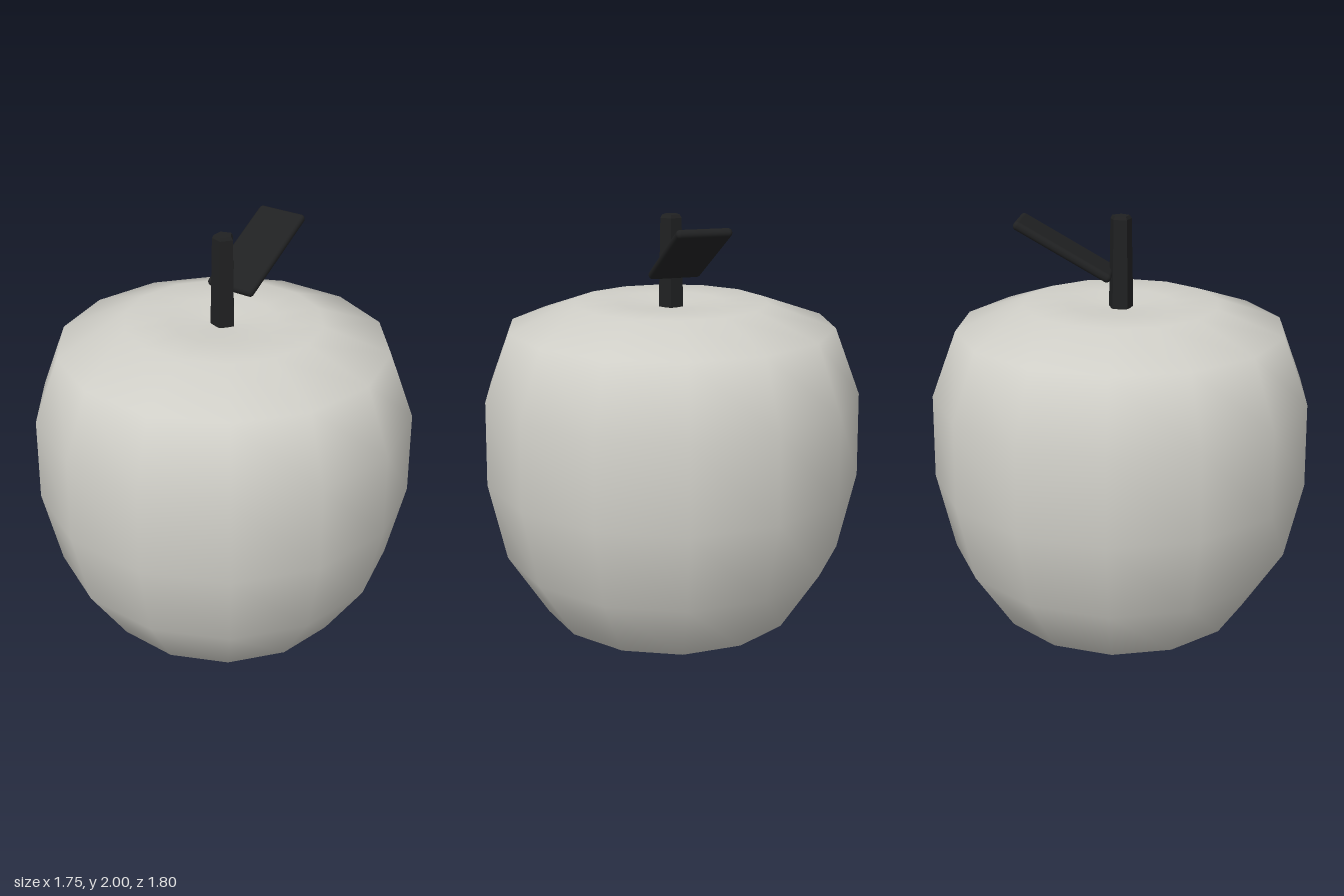
import * as THREE from 'three';
import { RoundedBoxGeometry } from 'three/addons/geometries/RoundedBoxGeometry.js';

export function createModel() {
  const model = new THREE.Group();
  model.name = 'apple';

  const makeMaterial = (name, color) => {
    const material = new THREE.MeshStandardMaterial({ color });
    material.name = name;
    return material;
  };
  const skin = makeMaterial('pale skin', 0xd0cfc8);
  const dark = makeMaterial('dark stem and leaf', 0x202122);

  const addPart = (name, geometry, material) => {
    const mesh = new THREE.Mesh(geometry, material);
    mesh.name = name;
    model.add(mesh);
    return mesh;
  };

  // Fruit body: 14-sided lathe with smooth normals and a shallow dip on top
  const profile = [
    [0, 0.015], [0.3, 0], [0.63, 0.09], [0.82, 0.4], [0.9, 0.78],
    [0.89, 1.18], [0.77, 1.49], [0.46, 1.597], [0.25, 1.595], [0, 1.57],
  ].map(([r, y]) => new THREE.Vector2(r, y));
  addPart('body', new THREE.LatheGeometry(profile, 14), skin);

  // Five-sided stem, slightly tapered, with a small chamfer at its tip
  const stemProfile = [[0, 1.56], [0.06, 1.56], [0.051, 1.985], [0.042, 2], [0, 2]]
    .map(([r, y]) => new THREE.Vector2(r, y));
  const stem = new THREE.LatheGeometry(stemProfile, 5).toNonIndexed();
  stem.computeVertexNormals();
  addPart('stem', stem, dark);

  // Thin rounded leaf rising away from the stem
  const leaf = addPart('leaf', new RoundedBoxGeometry(0.5, 0.04, 0.25, 3, 0.019), dark);
  leaf.position.set(0.257, 1.85, 0);
  leaf.rotation.z = Math.PI / 6;

  return model;
}
